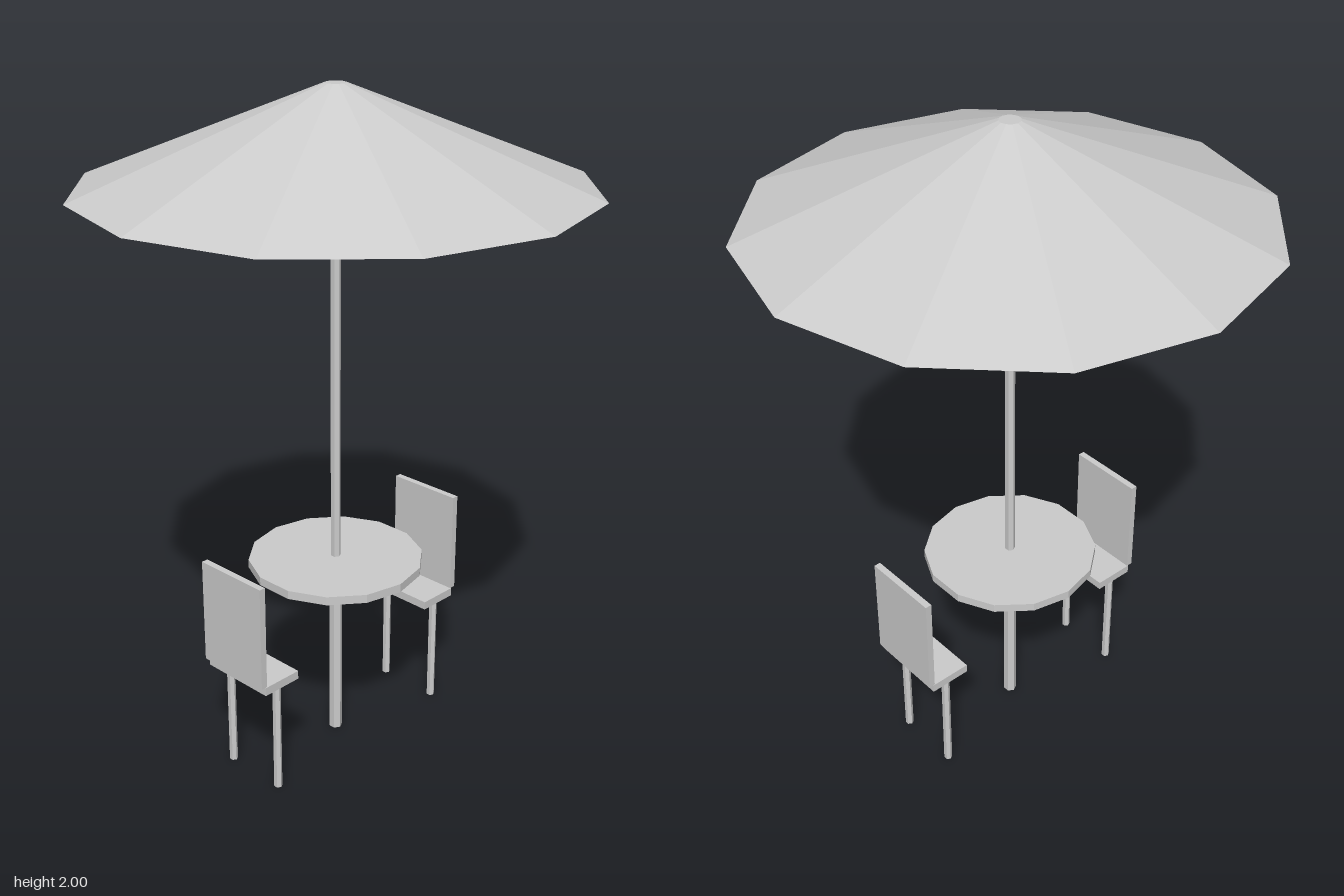
import * as THREE from 'three';

export function createModel() {
  const model = new THREE.Group();
  model.name = 'patioSet';
  const grey = new THREE.MeshStandardMaterial({ color: 0xcccccc, flatShading: true });
  grey.name = 'lightGrey';

  function add(parent, name, geometry, x, y, z) {
    const mesh = new THREE.Mesh(geometry, grey);
    mesh.name = name;
    mesh.position.set(x, y, z);
    parent.add(mesh);
    return mesh;
  }

  // Upright prism from y0 to y1 with a corner pointing along x
  function prism(parent, name, rTop, rBottom, y0, y1, sides, x = 0, z = 0) {
    const geometry = new THREE.CylinderGeometry(rTop, rBottom, y1 - y0, sides);
    geometry.rotateY(Math.PI / 2);
    return add(parent, name, geometry, x, (y0 + y1) / 2, z);
  }

  // Parasol
  prism(model, 'canopy', 0.03, 0.73, 1.72, 2, 12);
  prism(model, 'parasolPole', 0.015, 0.015, 0.6, 1.72, 6);

  // Table
  prism(model, 'tableTop', 0.262, 0.262, 0.578, 0.604, 14);
  prism(model, 'tableLeg', 0.02, 0.02, 0, 0.578, 6);

  // Two chairs facing the table
  for (const side of [1, -1]) {
    const chair = new THREE.Group();
    chair.name = side > 0 ? 'frontChair' : 'backChair';
    add(chair, 'seat', new THREE.BoxGeometry(0.24, 0.026, 0.128), 0, 0.362, 0.342);
    add(chair, 'backrest', new THREE.BoxGeometry(0.24, 0.318, 0.02), 0, 0.536, 0.411);
    for (const x of [-0.098, 0.098]) {
      prism(chair, 'chairLeg', 0.0125, 0.0125, 0, 0.349, 6, x, 0.344);
    }
    if (side < 0) chair.rotation.y = Math.PI;
    model.add(chair);
  }
  return model;
}
